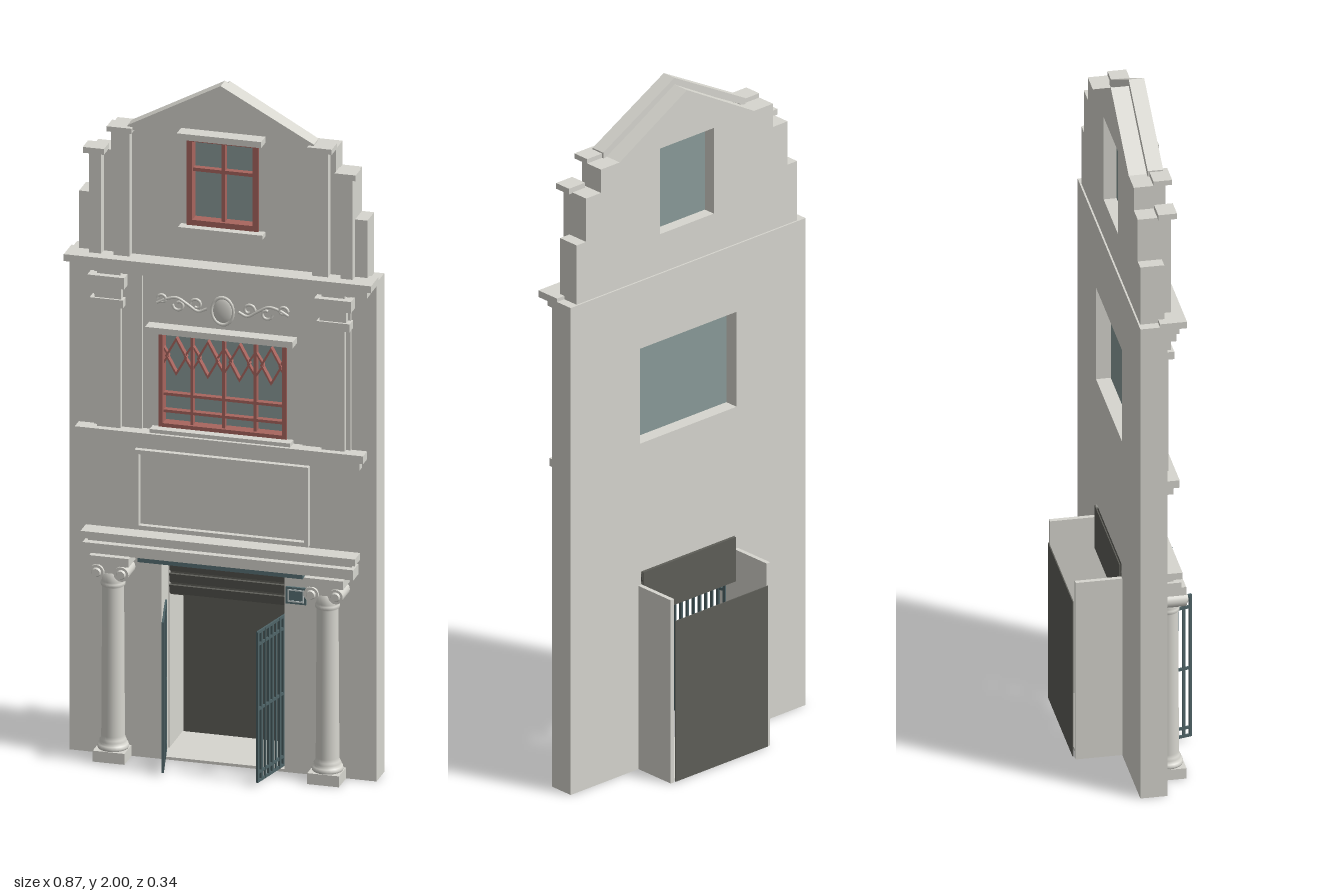
import * as THREE from 'three';

const mat = (name, color, side = THREE.FrontSide) => {
  const m = new THREE.MeshStandardMaterial({ color, side });
  m.name = name;
  return m;
};

export function createModel() {
  const stone = mat('stone', 0xd7d6cf);
  const red = mat('red window paint', 0xa8655e);
  const glass = mat('glass', 0x8a9b99, THREE.DoubleSide);
  const dark = mat('dark shutter', 0x5e5e58);
  const teal = mat('teal lintel', 0x587074);
  const iron = mat('gate iron', 0x4f6468);
  const pale = mat('pale plate trim', 0xc9d2d2);
  const model = new THREE.Group();
  model.name = 'townhouseFacade';

  const add = (name, geo, material, parent = model) => {
    const m = new THREE.Mesh(geo, material);
    m.name = name;
    parent.add(m);
    return m;
  };
  // box given by its limits
  const box = (name, x0, x1, y0, y1, z0, z1, material = stone, parent = model) => {
    const m = add(name, new THREE.BoxGeometry(x1 - x0, y1 - y0, z1 - z0), material, parent);
    m.position.set((x0 + x1) / 2, (y0 + y1) / 2, (z0 + z1) / 2);
    return m;
  };
  const band = (name, w, y0, y1, z1, z0 = 0.02) => box(name, -w, w, y0, y1, z0, z1);
  const pair = (name, x0, x1, ...rest) => {
    box(name + 'Left', x0, x1, ...rest);
    box(name + 'Right', -x1, -x0, ...rest);
  };
  const poly = pts => new THREE.Shape(pts.map(p => new THREE.Vector2(...p)));
  const rect = (w, y0, y1) => [[-w, y0], [w, y0], [w, y1], [-w, y1]];
  const plate = (name, shape, z0, z1, material = stone) => {
    const m = add(name, new THREE.ExtrudeGeometry(shape, { depth: z1 - z0, bevelEnabled: false }), material);
    m.position.z = z0;
    return m;
  };
  const ring = (name, w, y0, y1, t, z0, z1, material) => {
    const s = poly(rect(w, y0, y1));
    s.holes.push(poly(rect(w - t, y0 + t, y1 - t)));
    return plate(name, s, z0, z1, material);
  };

  // Main wall with door notch and window hole
  const wall = poly([[-0.437, 0], [-0.175, 0], [-0.175, 0.59], [0.175, 0.59], [0.175, 0],
    [0.437, 0], [0.437, 1.462], [-0.437, 1.462]]);
  wall.holes.push(poly(rect(0.18, 0.975, 1.26)));
  plate('mainWall', wall, -0.035, 0.04);

  // Stepped gable wall
  const half = [[0.41, 1.46], [0.41, 1.64], [0.375, 1.64], [0.375, 1.77], [0.32, 1.77], [0.32, 1.84], [0.25, 1.84]];
  const gable = poly([...half, [0, 1.98], ...half.map(([x, y]) => [-x, y]).reverse()]);
  gable.holes.push(poly(rect(0.1, 1.578, 1.835)));
  plate('gableWall', gable, -0.03, 0.037);
  plate('gableRake', poly([[-0.265, 1.835], [0, 1.975], [0.265, 1.835], [0.265, 1.857], [0, 2], [-0.265, 1.857]]), 0.02, 0.063);
  pair('gableOuterPilaster', 0.34, 0.375, 1.46, 1.768, 0.03, 0.062);
  pair('gableOuterCap', 0.328, 0.388, 1.768, 1.785, 0.025, 0.077);
  pair('gableInnerPilaster', 0.26, 0.305, 1.46, 1.84, 0.03, 0.062);
  pair('gableInnerCap', 0.25, 0.32, 1.838, 1.853, 0.025, 0.077);

  // Windows
  const bar = (name, x0, x1, y0, y1) => box(name, x0, x1, y0, y1, 0.018, 0.036, red);
  ring('gableWindowFrame', 0.102, 1.576, 1.837, 0.016, 0.01, 0.045, red);
  box('gableGlass', -0.1, 0.1, 1.578, 1.835, 0.006, 0.012, glass);
  bar('gableMullion', -0.005, 0.005, 1.59, 1.825);
  bar('gableTransom', -0.09, 0.09, 1.732, 1.742);
  band('gableLintel', 0.12, 1.837, 1.855, 0.08);
  band('gableSill', 0.12, 1.563, 1.576, 0.068);

  ring('windowFrame', 0.182, 0.975, 1.26, 0.012, 0.01, 0.045, red);
  box('windowGlass', -0.18, 0.18, 0.975, 1.26, 0.006, 0.012, glass);
  for (const x of [-0.09, 0, 0.09]) bar('windowMullion', x - 0.004, x + 0.004, 0.98, 1.25);
  for (const y of [1.02, 1.07]) bar('windowTransom', -0.175, 0.175, y - 0.004, y + 0.004);
  for (let i = 0; i < 4; i++) {
    const x = -0.135 + i * 0.09;
    const d = (w, h) => [[x - w, 1.182], [x, 1.182 - h], [x + w, 1.182], [x, 1.182 + h]];
    const s = poly(d(0.031, 0.056));
    s.holes.push(poly(d(0.025, 0.046)));
    plate('windowDiamond', s, 0.018, 0.036, red);
    for (const k of [-1, 1]) for (const v of [-1, 1]) {
      const strut = add('diamondStrut', new THREE.BoxGeometry(0.005, 0.042, 0.014), red);
      strut.position.set(x + k * 0.034, 1.182 + v * 0.018, 0.026);
      strut.rotation.z = k * v * -0.55;
    }
  }
  band('windowLintel', 0.21, 1.26, 1.278, 0.08);
  band('windowSill', 0.2, 0.962, 0.976, 0.07);

  // Cornices
  band('topCorniceUpper', 0.437, 1.452, 1.472, 0.095);
  band('topCorniceLower', 0.42, 1.427, 1.452, 0.077);
  band('middleCorniceUpper', 0.41, 0.942, 0.965, 0.08);
  band('middleCorniceLower', 0.395, 0.915, 0.942, 0.065);
  band('lowCorniceUpper', 0.39, 0.645, 0.665, 0.092);
  band('lowCorniceNeck', 0.375, 0.632, 0.645, 0.07);
  band('lowCorniceLower', 0.385, 0.602, 0.632, 0.09);
  ring('wallPanelFrame', 0.247, 0.672, 0.905, 0.012, 0.035, 0.056, stone);

  // Upper pilasters
  pair('pilasterBacking', 0.228, 0.365, 0.96, 1.43, 0.035, 0.046);
  pair('pilaster', 0.286, 0.352, 0.96, 1.43, 0.035, 0.06);
  pair('pilasterTopCap', 0.27, 0.375, 1.38, 1.413, 0.035, 0.078);
  pair('pilasterNeck', 0.282, 0.358, 1.345, 1.38, 0.035, 0.066);
  pair('pilasterLowerCap', 0.275, 0.37, 1.322, 1.345, 0.035, 0.073);

  // Oval medallion and scrolls
  const oval = add('medallion', new THREE.SphereGeometry(1, 20, 12), stone);
  oval.scale.set(0.03, 0.039, 0.009);
  oval.position.set(0, 1.333, 0.04);
  const rim = add('medallionRim', new THREE.TorusGeometry(0.031, 0.004, 8, 24), stone);
  rim.scale.y = 1.28;
  rim.position.set(0, 1.333, 0.044);
  const tube = (name, pts) => add(name, new THREE.TubeGeometry(
    new THREE.CatmullRomCurve3(pts.map(([x, y]) => new THREE.Vector3(x, y, 0.043))), 32, 0.004, 6), stone);
  for (const s of [-1, 1]) {
    tube('scrollStem', [[0.045, 1.335], [0.07, 1.325], [0.1, 1.342], [0.13, 1.358], [0.16, 1.352], [0.187, 1.338]].map(([x, y]) => [s * x, y]));
    for (const [cx, cy, r, dir] of [[0.075, 1.344, 0.018, 1], [0.125, 1.338, 0.018, -1], [0.172, 1.35, 0.015, 1]]) {
      const pts = [];
      for (let i = 0; i <= 7; i++) {
        const a = i * 0.75, q = r * (1 - i * 0.08);
        pts.push([s * (cx + q * Math.cos(a)), cy + dir * q * Math.sin(a)]);
      }
      tube('scrollCurl', pts);
    }
  }

  // Entrance columns
  const profile = [[0, 0.03], [0.042, 0.03], [0.044, 0.037], [0.042, 0.045], [0.036, 0.047], [0.038, 0.054], [0.034, 0.06],
    [0.0325, 0.07], [0.03, 0.505], [0.034, 0.51], [0.034, 0.518], [0.03, 0.522], [0.034, 0.56], [0, 0.56]];
  for (const s of [-1, 1]) {
    const g = new THREE.Group();
    g.name = 'entranceColumn';
    g.position.set(s * 0.305, 0, 0.066);
    model.add(g);
    add('shaft', new THREE.LatheGeometry(profile.map(p => new THREE.Vector2(...p)), 24), stone, g);
    box('plinth', -0.045, 0.045, 0, 0.032, -0.045, 0.045, stone, g);
    box('abacus', -0.056, 0.056, 0.578, 0.603, -0.04, 0.042, stone, g);
    box('capitalBlock', -0.045, 0.045, 0.553, 0.58, -0.035, 0.036, stone, g);
    for (const k of [-1, 1]) {
      const v = add('volute', new THREE.CylinderGeometry(0.021, 0.021, 0.08, 20), stone, g);
      v.rotation.x = Math.PI / 2;
      v.position.set(k * 0.035, 0.556, 0.004);
      const eye = add('voluteEye', new THREE.CylinderGeometry(0.011, 0.014, 0.006, 16), stone, g);
      eye.rotation.x = Math.PI / 2;
      eye.position.set(k * 0.035, 0.556, 0.047);
    }
  }

  // Door surround, shutter and porch niche
  box('doorLintel', -0.235, 0.235, 0.582, 0.604, 0.03, 0.07, teal);
  box('numberPlate', 0.18, 0.238, 0.497, 0.546, 0.039, 0.046, teal);
  const trim = ring('numberPlateTrim', 0.023, -0.0185, 0.0185, 0.004, 0.045, 0.048, pale);
  trim.position.set(0.209, 0.5215, 0.045);
  box('shutterSheet', -0.172, 0.172, 0.455, 0.588, -0.041, -0.038, dark);
  for (let i = 0; i < 4; i++) {
    const slat = box('shutterSlat', -0.172, 0.172, 0.46 + i * 0.033, 0.488 + i * 0.033, -0.034, -0.028, dark);
    slat.rotation.x = 0.25;
  }
  pair('nicheSide', 0.172, 0.185, 0, 0.55, -0.165, -0.03);
  box('nicheFloor', -0.176, 0.176, 0, 0.008, -0.159, 0.04);
  box('nicheBack', -0.172, 0.172, 0.003, 0.485, -0.171, -0.168, dark);

  // Open gates
  for (const s of [-1, 1]) {
    const g = new THREE.Group();
    g.name = 'gate';
    g.position.set(s * 0.173, 0, 0.002);
    g.rotation.y = -s * 0.23;
    model.add(g);
    for (let i = 0; i < 9; i++) {
      const z = 0.004 + i * 0.0204;
      box('gateBar', -0.003, 0.003, 0.012, 0.453, z - 0.004, z + 0.004, iron, g);
    }
    for (const y of [0.015, 0.04, 0.225, 0.415, 0.45])
      box('gateRail', -0.0025, 0.0025, y - 0.004, y + 0.004, 0, 0.17, iron, g);
  }
  return model;
}
